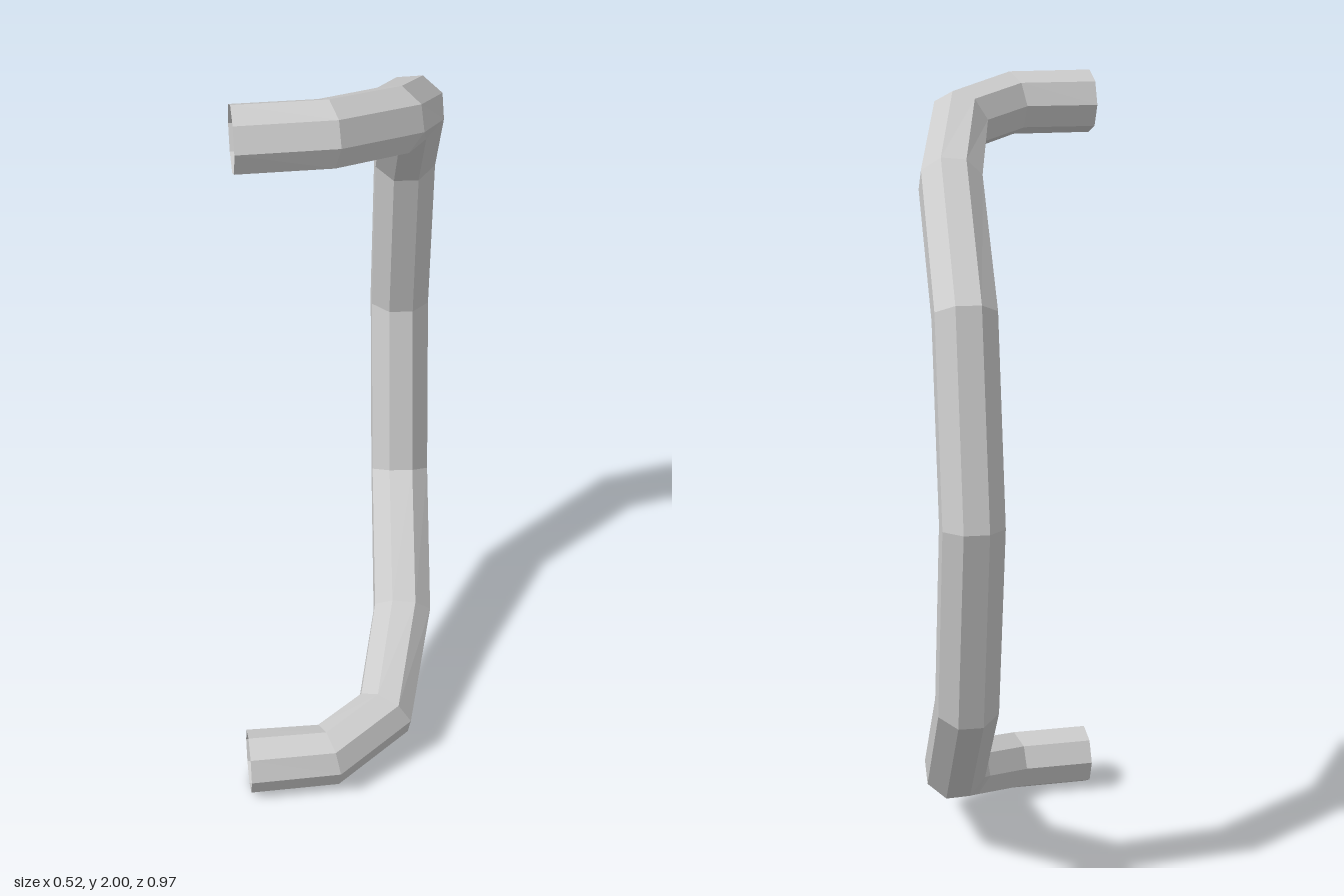
import * as THREE from 'three';

const SIDES = 8, RADIUS = 0.082;

// Centre line of the upper half, from the middle to the open end
const HALF = [
  [0.18, 1.0, -0.41], [0.18, 1.49, -0.303], [0.173, 1.77, -0.02],
  [0.11, 1.887, 0.267], [-0.045, 1.92, 0.388], [-0.255, 1.92, 0.405],
].map((p) => new THREE.Vector3(...p));

// Octagonal rings square to the path, carried along it without twist
function halfRings() {
  const dirs = HALF.slice(1).map((p, i) => p.clone().sub(HALF[i]).normalize());
  let tangent = new THREE.Vector3(0, 1, 0);
  const u = new THREE.Vector3(0, 0, 1), v = new THREE.Vector3(1, 0, 0);
  return HALF.map((p, i) => {
    if (i > 0) {
      const next = dirs[i - 1].clone().add(dirs[Math.min(i, dirs.length - 1)]).normalize();
      const turn = new THREE.Quaternion().setFromUnitVectors(tangent, next);
      u.applyQuaternion(turn);
      v.applyQuaternion(turn);
      tangent = next;
    }
    return Array.from({ length: SIDES }, (_, j) => {
      const a = ((j + 0.5) / SIDES) * Math.PI * 2;
      return p.clone()
        .addScaledVector(u, RADIUS * Math.cos(a))
        .addScaledVector(v, RADIUS * Math.sin(a));
    });
  });
}

export function createModel() {
  // The lower half mirrors the upper one about y = 1
  const upper = halfRings();
  const lower = upper.slice(1).reverse()
    .map((ring) => ring.map((p) => new THREE.Vector3(p.x, 2 - p.y, p.z)));
  const rings = [...lower, ...upper];

  const index = [];
  for (let i = 0; i < rings.length - 1; i++) {
    for (let j = 0; j < SIDES; j++) {
      const k = (j + 1) % SIDES;
      const a = i * SIDES + j, b = i * SIDES + k;
      index.push(a, b, b + SIDES, a, b + SIDES, a + SIDES);
    }
  }
  const geometry = new THREE.BufferGeometry().setFromPoints(rings.flat());
  geometry.setIndex(index);
  geometry.computeVertexNormals();

  // Open-ended bent tube
  const tube = new THREE.Mesh(geometry, new THREE.MeshStandardMaterial({
    color: 0xcccccc, flatShading: true, side: THREE.DoubleSide,
  }));
  tube.name = 'bentTube';

  const group = new THREE.Group();
  group.name = 'curvedHandle';
  group.add(tube);
  return group;
}
